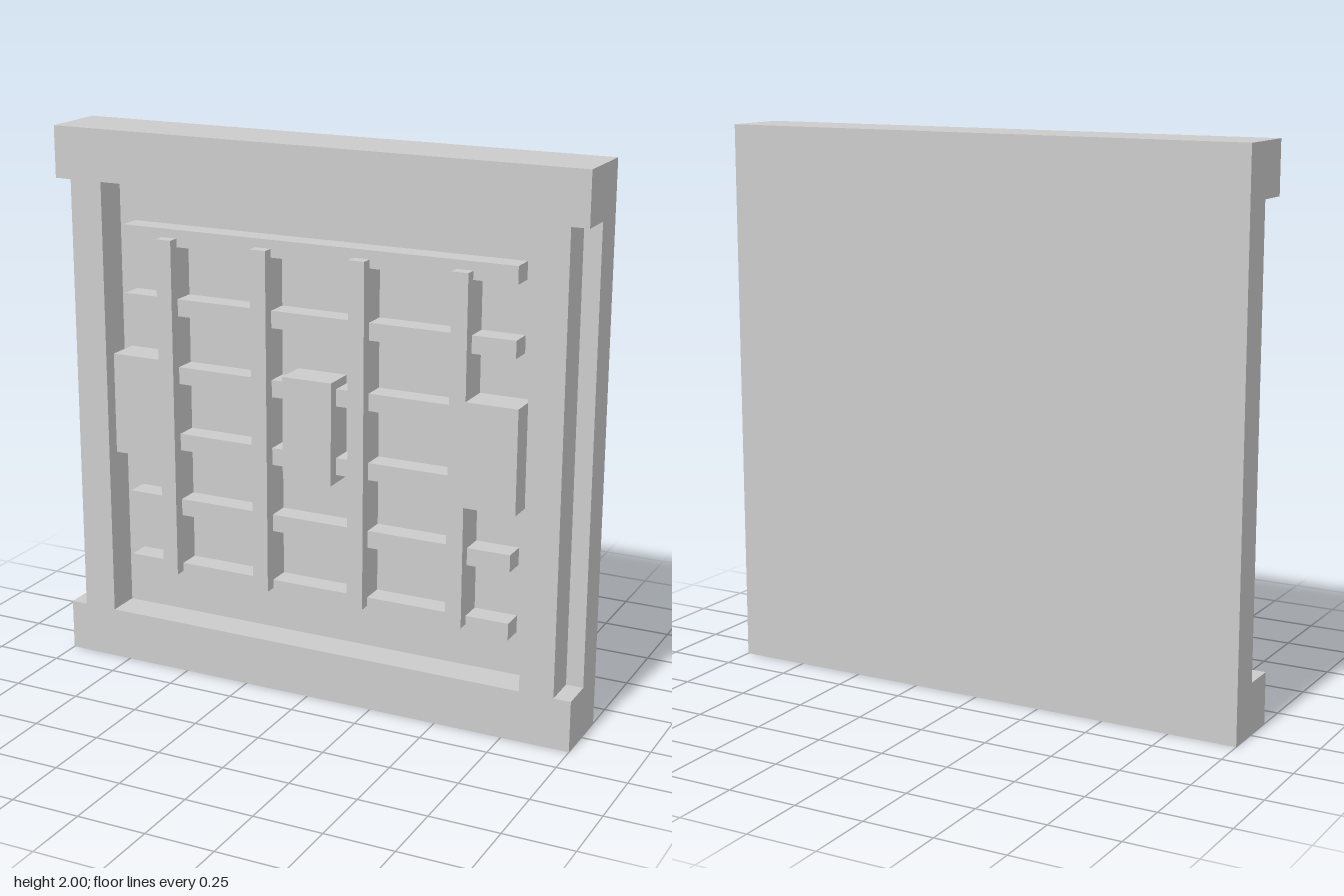
import * as THREE from 'three';

const material = new THREE.MeshStandardMaterial({ color: 0xcccccc });

export function createModel() {
  const group = new THREE.Group();
  group.name = 'wallPanel';

  // Box given by its extents on each axis
  const box = (name, x0, x1, y0, y1, z0, z1) => {
    const mesh = new THREE.Mesh(new THREE.BoxGeometry(x1 - x0, y1 - y0, z1 - z0), material);
    mesh.position.set((x0 + x1) / 2, (y0 + y1) / 2, (z0 + z1) / 2);
    mesh.name = name;
    group.add(mesh);
  };

  const front = 0.125, low = 0.1875, high = 1.8125;

  // Back plate
  box('backPlate', -1, 1, 0, 2, -front, 0);

  // Raised frame: notched on both sides, open in the middle
  const outline = [
    [-1, 0], [1, 0], [1, low], [0.9375, low], [0.9375, high], [1, high],
    [1, 2], [-1, 2], [-1, high], [-0.9375, high], [-0.9375, low], [-1, low],
  ].map(([x, y]) => new THREE.Vector2(x, y));
  const shape = new THREE.Shape(outline);
  const w = 0.8125;
  shape.holes.push(new THREE.Path(
    [[-w, low], [-w, high], [w, high], [w, low]].map(([x, y]) => new THREE.Vector2(x, y))));
  const frame = new THREE.Mesh(
    new THREE.ExtrudeGeometry(shape, { depth: front, bevelEnabled: false }), material);
  frame.name = 'frame';
  group.add(frame);

  // Horizontal bars, set back from the front
  for (let i = 0; i < 6; i++) {
    const y = 0.347 + i * 0.25;
    box('horizontalBar', -0.75, 0.75, y, y + 0.0625, 0, 0.083);
  }

  // Vertical bars, flush with the frame
  for (let i = 0; i < 4; i++) {
    const x = -0.5625 + i * 0.375;
    box('verticalBar', x - 0.03, x + 0.03, 0.378, 1.628, 0, front);
  }

  // Centre block and the side blocks joined to the outer bars
  box('centreBlock', -0.094, 0.094, 0.8175, 1.19, 0, front);
  box('leftBlock', 0.5925, 0.78, 0.8175, 1.19, 0, front);
  box('rightBlock', -0.78, -0.5925, 0.8175, 1.19, 0, front);

  return group;
}
